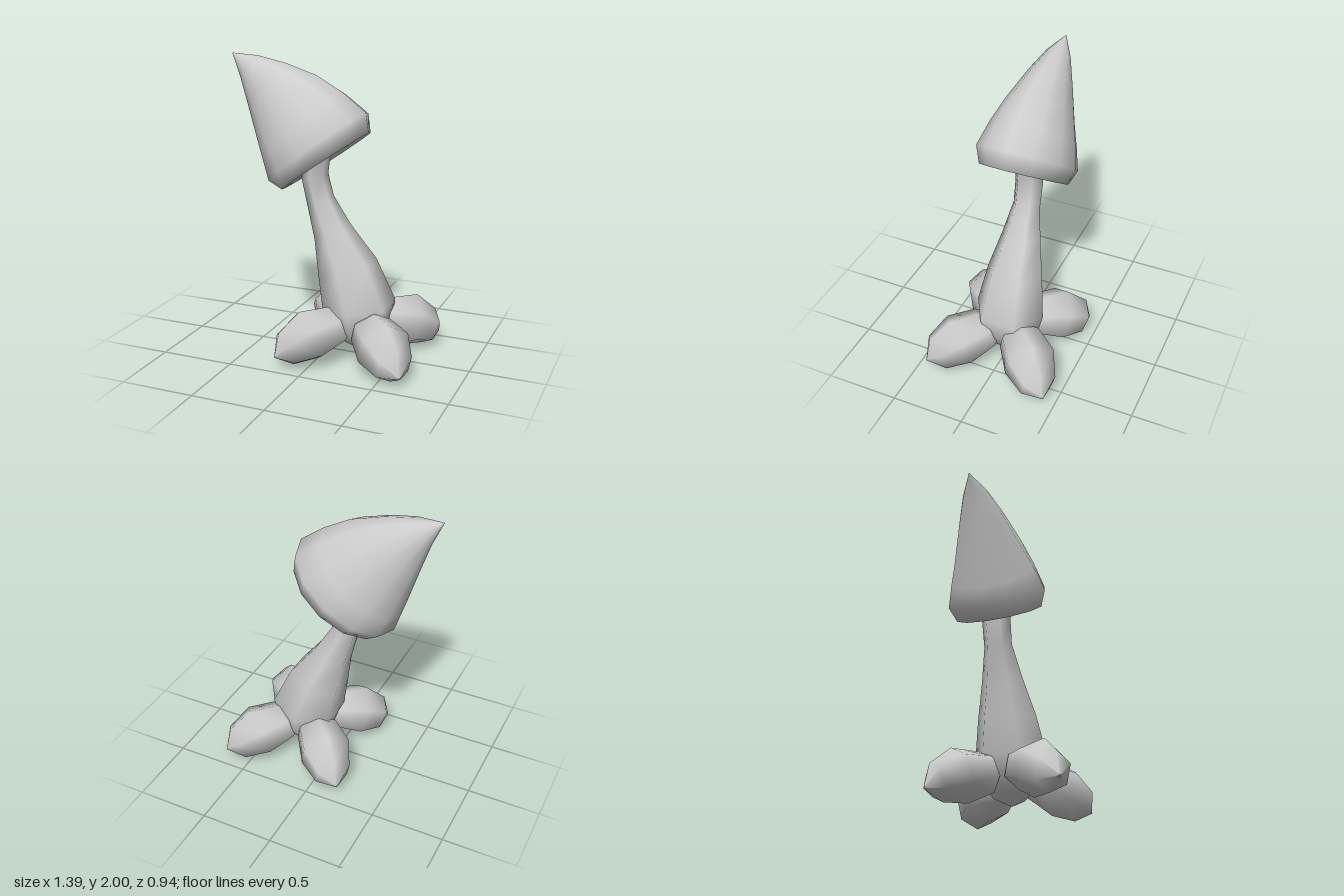
import * as THREE from 'three';

// Skin a row of elliptical rings. Each ring is [ax, ay, bx, by, w]: two opposite
// ends in the xy plane and the half width in z.
function loft(rings, sides, turn = 0) {
  const pos = [], index = [];
  for (const [ax, ay, bx, by, w] of rings) {
    for (let j = 0; j < sides; j++) {
      const t = turn + (j / sides) * Math.PI * 2;
      const c = Math.cos(t) / 2;
      pos.push((ax + bx) / 2 + c * (bx - ax), (ay + by) / 2 + c * (by - ay), Math.sin(t) * w);
    }
  }
  for (let i = 0; i < rings.length - 1; i++) {
    for (let j = 0; j < sides; j++) {
      const k = (j + 1) % sides;
      const a = i * sides + j, b = i * sides + k, c = a + sides, d = b + sides;
      index.push(a, c, b, b, c, d);
    }
  }
  const geo = new THREE.BufferGeometry();
  geo.setAttribute('position', new THREE.Float32BufferAttribute(pos, 3));
  geo.setIndex(index);
  geo.computeVertexNormals();
  return geo;
}

// Push ring ends outwards so that the flats of a hexagon reach them
function widen([ax, ay, bx, by, w]) {
  const s = (1 / Math.cos(Math.PI / 6) - 1) / 2;
  const dx = (bx - ax) * s, dy = (by - ay) * s;
  return [ax - dx, ay - dy, bx + dx, by + dy, w];
}

export function createModel() {
  const model = new THREE.Group();
  const grey = new THREE.MeshStandardMaterial({ color: 0xcccccc });
  grey.name = 'pale grey';

  const add = (name, geo) => {
    const mesh = new THREE.Mesh(geo, grey);
    mesh.name = name;
    model.add(mesh);
    return mesh;
  };

  // Bent six-sided stalk, from the foot up into the cap
  add('stalk', loft([
    [0.25, 0.04, 0.25, 0.04, 0],
    [0.13, 0.1, 0.35, 0.1, 0.12],
    [0.05, 0.2, 0.42, 0.22, 0.21],
    [0.01, 0.33, 0.44, 0.38, 0.245],
    [-0.03, 0.56, 0.31, 0.66, 0.2],
    [-0.07, 0.8, 0.14, 0.88, 0.14],
    [-0.13, 1.02, 0.02, 1.08, 0.095],
    [-0.17, 1.2, -0.02, 1.23, 0.098],
    [-0.16, 1.31, 0.0, 1.39, 0.105],
    [-0.2, 1.36, 0.02, 1.47, 0.13],
    [-0.1, 1.43, -0.1, 1.43, 0],
  ].map(widen), 6, Math.PI / 6));

  // Leaning pointed cap, from the hollow underside over the lip to the tip
  add('cap', loft([
    [-0.1, 1.43, -0.1, 1.43, 0],
    [-0.21, 1.31, 0.06, 1.49, 0.14],
    [-0.25, 1.18, 0.2, 1.51, 0.21],
    [-0.31, 1.11, 0.28, 1.53, 0.29],
    [-0.4, 1.16, 0.26, 1.66, 0.33],
    [-0.44, 1.28, 0.1, 1.78, 0.285],
    [-0.48, 1.4, -0.08, 1.88, 0.23],
    [-0.555, 1.64, -0.3, 1.95, 0.155],
    [-0.62, 1.84, -0.5, 1.99, 0.085],
    [-0.69, 2.0, -0.69, 2.0, 0],
  ], 12));

  // Four drooping buds around the foot, built along +x and turned to the diagonals
  const budGeo = loft([
    [0.06, 0.29, 0.06, 0.29, 0],
    [0.235, 0.37, 0.125, 0.11, 0.15],
    [0.435, 0.365, 0.305, 0.015, 0.185],
    [0.58, 0.24, 0.48, 0.0, 0.13],
    [0.615, 0.07, 0.615, 0.07, 0],
  ], 6);
  ['frontLeftBud', 'backLeftBud', 'backRightBud', 'frontRightBud'].forEach((name, i) => {
    const bud = add(name, budGeo);
    bud.position.x = 0.23;
    bud.rotation.y = -Math.PI / 4 + (i * Math.PI) / 2;
  });

  return model;
}
